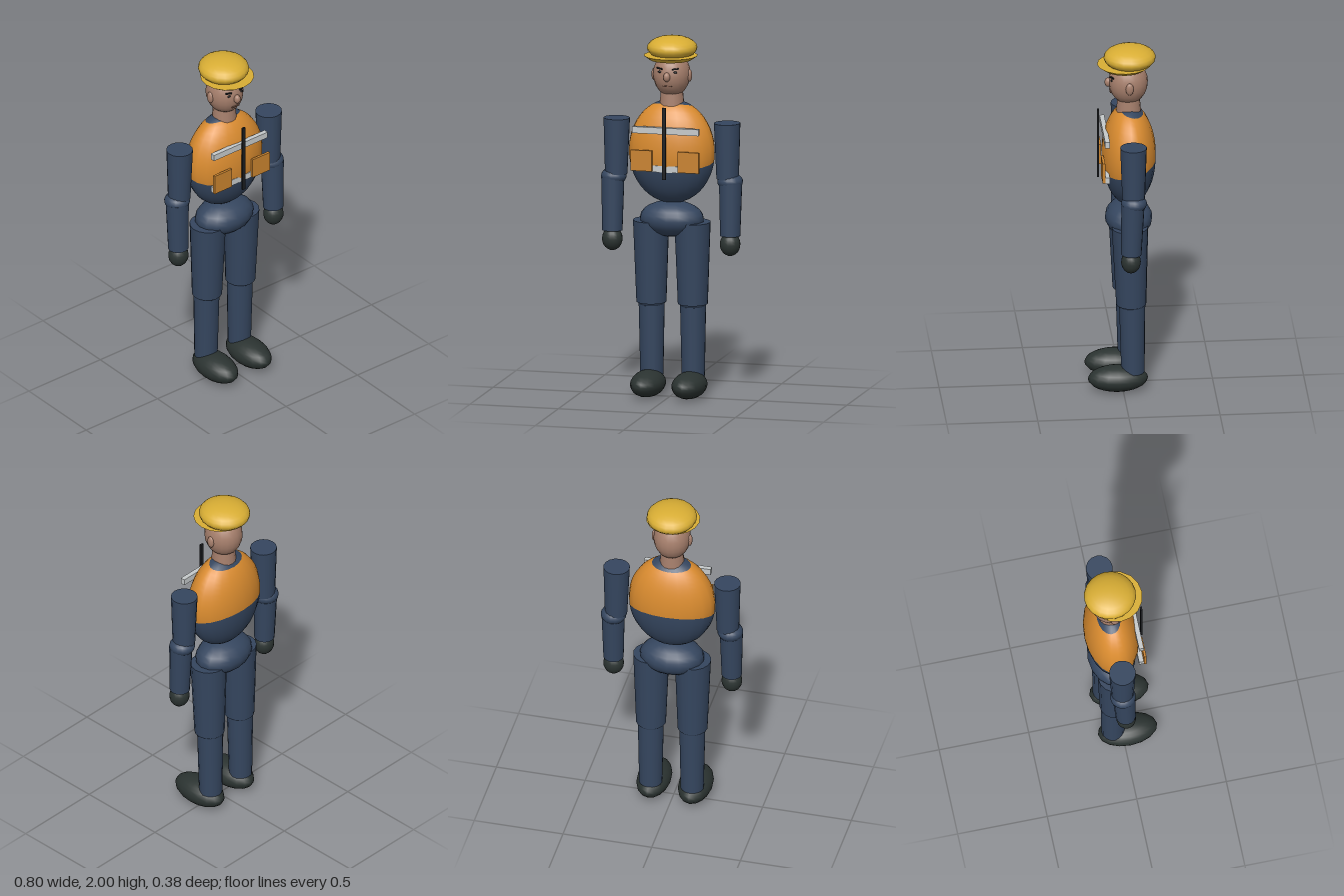
import * as THREE from 'three';
import { ParametricGeometry } from 'three/addons/geometries/ParametricGeometry.js';

export function createModel() {
  const model = new THREE.Group();
  model.name = 'worker';
  const paint = (name, color) => {
    const m = new THREE.MeshStandardMaterial({ color });
    m.name = name;
    return m;
  };
  const navy = paint('navy cloth', 0x35465f);
  const orange = paint('orange vest', 0xd98b2f);
  const pocketOrange = paint('pocket orange', 0xc9832f);
  const yellow = paint('helmet yellow', 0xd9ae34);
  const skin = paint('skin', 0xa67f6c);
  const silver = paint('reflective silver', 0xc6cacb);
  const black = paint('boot black', 0x2b3331);
  const dark = paint('dark trim', 0x1a1c1f);
  const lip = paint('lips', 0x86604f);

  const add = (name, geometry, material, x, y, z) => {
    const mesh = new THREE.Mesh(geometry, material);
    mesh.name = name;
    mesh.position.set(x, y, z);
    model.add(mesh);
    return mesh;
  };
  const ball = (name, mat, [x, y, z], [rx, ry, rz], segments = 16) =>
    add(name, new THREE.SphereGeometry(1, segments, 12).scale(rx, ry, rz), mat, x, y, z);
  const box = (name, mat, [x, y, z], [w, h, d]) =>
    add(name, new THREE.BoxGeometry(w, h, d), mat, x, y, z);
  // Tapered limb between two points
  const limb = (name, mat, from, to, rTop, rBottom) => {
    const a = new THREE.Vector3(...from), b = new THREE.Vector3(...to);
    const mid = a.clone().add(b).multiplyScalar(0.5);
    const mesh = add(name, new THREE.CylinderGeometry(rTop, rBottom, a.distanceTo(b), 16), mat, mid.x, mid.y, mid.z);
    mesh.quaternion.setFromUnitVectors(new THREE.Vector3(0, 1, 0), a.sub(b).normalize());
    return mesh;
  };

  // Torso: one ellipsoid cut into bands along tilted hems
  const CY = 1.36, RX = 0.242, RY = 0.288, RZ = 0.149, CZ = -0.04;
  const hem = (c) => 1.31 - 0.035 * c;
  const neckline = (c) => 1.618 + 0.014 * c;
  const band = (name, mat, low, high) => {
    const point = (u, v, p) => {
      const a = u * Math.PI * 2, c = Math.cos(a);
      const angle = (y) => Math.asin(THREE.MathUtils.clamp((y - CY) / RY, -1, 1));
      const t = THREE.MathUtils.lerp(angle(low(c)), angle(high(c)), v);
      p.set(RX * Math.cos(t) * Math.sin(a), CY + RY * Math.sin(t), CZ + RZ * Math.cos(t) * c);
    };
    const g = new ParametricGeometry(point, 20, 10);
    // Exact ellipsoid normals keep the bands seamless
    const p = g.attributes.position, n = new THREE.Vector3();
    for (let i = 0; i < p.count; i++) {
      n.set(p.getX(i) / RX ** 2, (p.getY(i) - CY) / RY ** 2, (p.getZ(i) - CZ) / RZ ** 2).normalize();
      g.attributes.normal.setXYZ(i, n.x, n.y, n.z);
    }
    add(name, g, mat, 0, 0, 0);
  };
  band('lowerTorso', navy, () => CY - RY, hem);
  band('vest', orange, hem, neckline);
  band('collar', navy, neckline, () => CY + RY);
  ball('pelvis', navy, [0, 0.985, -0.04], [0.18, 0.1, 0.13]);

  // Vest trim
  box('upperReflectiveStripe', silver, [0, 1.495, 0.091], [0.376, 0.036, 0.026]);
  box('lowerReflectiveStripe', silver, [0, 1.283, 0.091], [0.376, 0.036, 0.026]);
  box('zip', dark, [0, 1.43, 0.128], [0.02, 0.4, 0.011]);

  // Head
  limb('neck', skin, [0, 1.71, -0.04], [0, 1.62, -0.04], 0.06, 0.068);
  ball('head', skin, [0, 1.79, -0.038], [0.102, 0.125, 0.108], 20);
  ball('nose', skin, [0, 1.79, 0.072], [0.019, 0.026, 0.02], 12);
  box('mouth', lip, [0, 1.738, 0.06], [0.05, 0.006, 0.008]);

  // Hard hat
  ball('helmetDome', yellow, [0, 1.935, -0.046], [0.138, 0.065, 0.143], 20);
  add('helmetBrim', new THREE.CylinderGeometry(0.148, 0.115, 0.024, 16), yellow, 0, 1.886, -0.015);

  // Mirrored parts
  for (const s of [1, -1]) {
    const side = s > 0 ? 'left' : 'right';
    ball(side + 'Ear', skin, [s * 0.1, 1.785, -0.038], [0.014, 0.035, 0.022], 12);
    ball(side + 'Eye', dark, [s * 0.044, 1.816, 0.057], [0.011, 0.006, 0.005], 10);
    box(side + 'Eyebrow', dark, [s * 0.045, 1.834, 0.055], [0.036, 0.007, 0.009]).rotation.set(0, s * 0.4, s * 0.1);
    box(side + 'Pocket', pocketOrange, [s * 0.133, 1.328, 0.111], [0.12, 0.115, 0.014]);

    limb(side + 'UpperArm', navy, [s * 0.312, 1.53, -0.041], [s * 0.315, 1.22, -0.041], 0.073, 0.062);
    ball(side + 'Elbow', navy, [s * 0.329, 1.205, -0.042], [0.071, 0.048, 0.071]);
    limb(side + 'Forearm', navy, [s * 0.333, 1.2, -0.036], [s * 0.333, 0.905, -0.027], 0.064, 0.056);
    ball(side + 'Glove', black, [s * 0.333, 0.859, -0.025], [0.057, 0.065, 0.054]);

    limb(side + 'Thigh', navy, [s * 0.117, 0.972, -0.038], [s * 0.117, 0.515, -0.045], 0.1, 0.083);
    ball(side + 'Knee', navy, [s * 0.117, 0.53, -0.048], [0.08, 0.06, 0.08]);
    limb(side + 'Shin', navy, [s * 0.117, 0.52, -0.05], [s * 0.117, 0.11, -0.054], 0.072, 0.064);
    ball(side + 'Boot', black, [s * 0.117, 0.073, 0.028], [0.093, 0.073, 0.165]);
  }
  return model;
}
